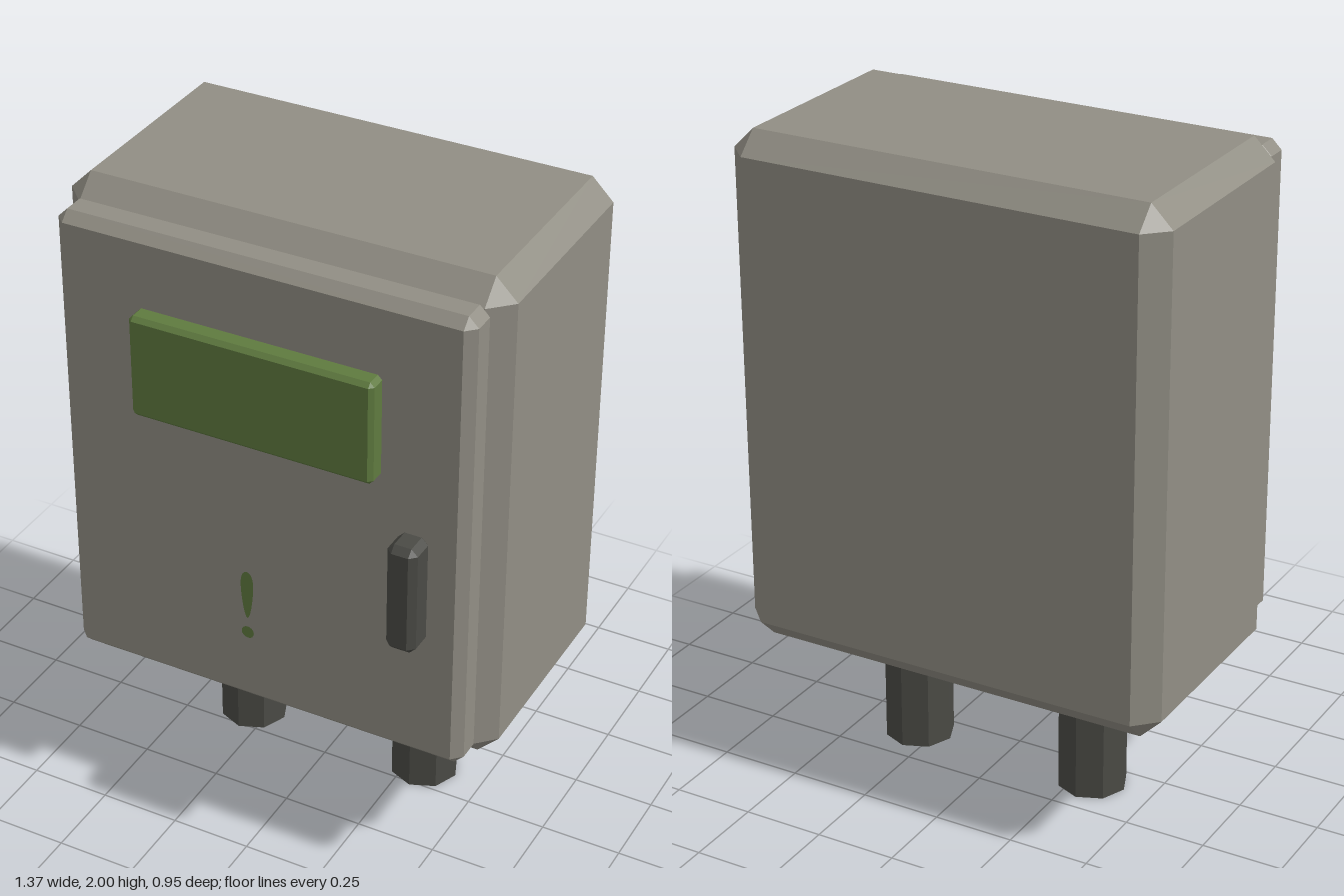
import * as THREE from 'three';
import { ConvexGeometry } from 'three/addons/geometries/ConvexGeometry.js';

const paint = (name, color, side = THREE.FrontSide) => {
  const m = new THREE.MeshStandardMaterial({ color, side });
  m.name = name;
  return m;
};

// Box with 45-degree chamfers: three points around every corner
function chamferBox([x0, x1], [y0, y1], [z0, z1], bevel) {
  const half = new THREE.Vector3(x1 - x0, y1 - y0, z1 - z0).multiplyScalar(0.5);
  const points = [];
  for (const sx of [-1, 1]) for (const sy of [-1, 1]) for (const sz of [-1, 1]) {
    for (let axis = 0; axis < 3; axis++) {
      const p = half.clone().subScalar(bevel);
      p.setComponent(axis, half.getComponent(axis));
      points.push(p.multiply(new THREE.Vector3(sx, sy, sz)));
    }
  }
  return new ConvexGeometry(points).translate((x0 + x1) / 2, (y0 + y1) / 2, (z0 + z1) / 2);
}

export function createModel() {
  const model = new THREE.Group();
  model.name = 'controlCabinet';

  const grey = paint('warm grey', 0x918e84);
  const dark = paint('dark grey', 0x4a4a45);
  const green = paint('green', 0x5f7a3f);
  const greenSheet = paint('green', 0x5f7a3f, THREE.DoubleSide);

  const add = (name, geometry, material) => {
    const mesh = new THREE.Mesh(geometry, material);
    mesh.name = name;
    model.add(mesh);
    return mesh;
  };

  // Cabinet, door, display and handle
  add('cabinet', chamferBox([-0.685, 0.685], [0.41, 2], [-0.475, 0.28], 0.066), grey);
  add('door', chamferBox([-0.64, 0.64], [0.465, 1.95], [0.26, 0.385], 0.03), grey);
  add('display', chamferBox([-0.378, 0.378], [1.395, 1.717], [0.35, 0.442], 0.013), green);
  add('handle', chamferBox([0.435, 0.527], [0.888, 1.24], [0.37, 0.472], 0.02), dark);

  // Octagonal legs
  for (const side of [-1, 1]) {
    const leg = new THREE.CylinderGeometry(0.107, 0.107, 0.46, 8).toNonIndexed();
    leg.computeVertexNormals();
    add(side > 0 ? 'leftLeg' : 'rightLeg', leg, dark).position.set(side * 0.303, 0.23, -0.093);
  }

  // Warning mark: a tapered drop and a dot in front of the door
  const drop = new THREE.Shape();
  drop.moveTo(0, 1);
  drop.bezierCurveTo(0.017, 1, 0.022, 0.97, 0.02, 0.94);
  drop.bezierCurveTo(0.018, 0.9, 0.009, 0.838, 0, 0.838);
  drop.bezierCurveTo(-0.009, 0.838, -0.018, 0.9, -0.02, 0.94);
  drop.bezierCurveTo(-0.022, 0.97, -0.017, 1, 0, 1);
  add('warningDrop', new THREE.ShapeGeometry(drop, 6), greenSheet).position.z = 0.467;
  add('warningDot', new THREE.CircleGeometry(0.02, 16), greenSheet).position.set(0, 0.788, 0.467);

  return model;
}
